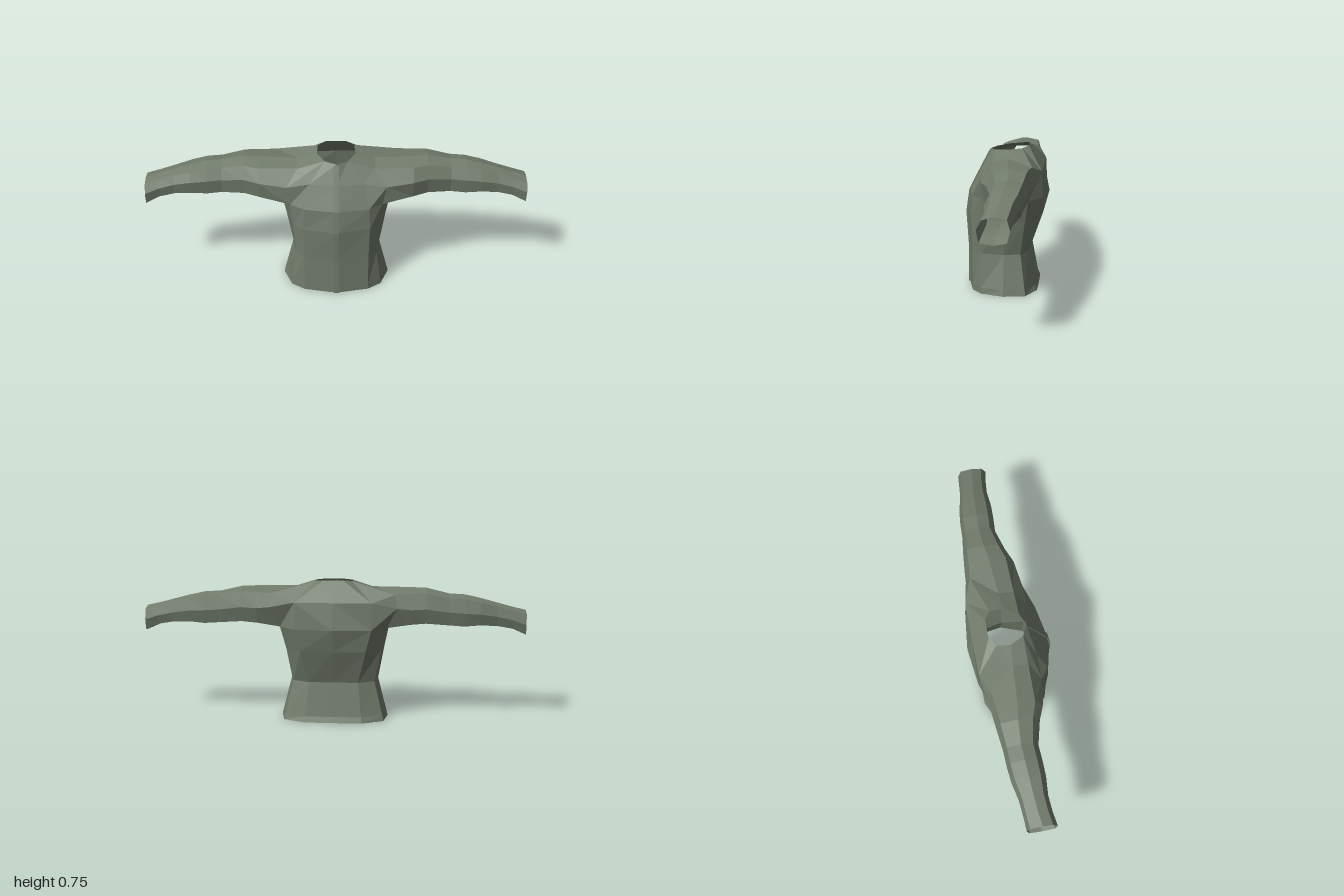
import * as THREE from 'three';

const cloth = new THREE.MeshStandardMaterial({ color: 0x727c6c, flatShading: true, side: THREE.DoubleSide });
cloth.name = 'greyGreenCloth';

// Mesh from a list of polygons (3 or 4 corners, counter-clockwise from outside)
function meshFrom(name, polys) {
  const pos = [];
  for (const p of polys)
    for (let i = 1; i < p.length - 1; i++) pos.push(...p[0], ...p[i], ...p[i + 1]);
  const g = new THREE.BufferGeometry();
  g.setAttribute('position', new THREE.Float32BufferAttribute(pos, 3));
  g.computeVertexNormals();
  const m = new THREE.Mesh(g, cloth);
  m.name = name;
  return m;
}

const mirror = polys => polys.map(p => p.map(([x, y, z]) => [-x, y, z]).reverse());

// Half rings of the body, [x, z] from front centre round to back centre
const bodyRows = [
  [0.0, [[0, .205], [.17, .17], [.24, .12], [.285, 0], [.265, -.115], [.15, -.168], [0, -.17]]],
  [0.03, [[0, .205], [.17, .17], [.237, .12], [.278, 0], [.258, -.11], [.147, -.155], [0, -.157]]],
  [0.21, [[0, .205], [.17, .17], [.215, .12], [.232, 0], [.215, -.085], [.13, -.123], [0, -.125]]],
  [0.39, [[0, .217], [.175, .175], [.228, .12], [.265, 0], [.25, -.11], [.17, -.18], [0, -.19]]],
  [0.51, [[0, .2], [.17, .17], [.24, .12], [.29, 0], [.28, -.13], [.2, -.2], [0, -.223]]],
].map(([y, pts]) => pts.map(([x, z]) => [x, y, z]));

const [F0, F1, S1, S2, S3, B1, B0] = bodyRows[4];

// Armhole loop: top, top back, back, low back, bottom, low front, front, top front
const armhole = [[.2, .71, -.02], [.32, .69, -.15], [.33, .62, -.17], S3, S2, S1, [.26, .61, .118], [.2, .69, .06]];
const [aTop, aTopBack, aBack, , , , aFront, aTopFront] = armhole;

function torso() {
  const polys = [];
  for (let r = 0; r < bodyRows.length - 1; r++)
    for (let i = 0; i < 6; i++)
      polys.push([bodyRows[r][i], bodyRows[r][i + 1], bodyRows[r + 1][i + 1], bodyRows[r + 1][i]]);
  // Chest, shoulder and upper back around the neck opening
  const M0 = [0, .63, .14], M1 = [.14, .63, .118];
  const U0 = [0, .65, -.195], U1 = [.2, .65, -.193];
  const N = [[0, .73, .087], [.06, .733, .06], [.1, .74, -.01], [.095, .748, -.085], [.05, .755, -.115], [0, .755, -.115]];
  polys.push(
    [F0, F1, M1, M0], [F1, S1, aFront, M1],
    [M0, M1, N[1], N[0]], [M1, aFront, aTopFront, N[1]],
    [N[1], aTopFront, aTop, N[2]], [N[2], aTop, aTopBack, N[3]],
    [N[3], aTopBack, U1], [N[3], U1, N[4]], [N[4], U1, U0, N[5]],
    [U1, B1, B0, U0], [S3, B1, U1, aBack], [aBack, U1, aTopBack],
  );
  return meshFrom('torso', [...polys, ...mirror(polys)]);
}

// Sleeve sections: x, top, bottom, front z, back z
const sections = [
  [.4, .71, .515, .098, -.165], [.48, .71, .522, .065, -.157], [.6, .683, .514, .035, -.143],
  [.68, .678, .508, .04, -.14], [.76, .66, .516, .042, -.132], [.85, .635, .512, .035, -.112],
  [.93, .612, .498, .042, -.105], [1, .595, .465, .055, -.1],
];
const outline = [[0, 1], [-.8, .92], [-1, .5], [-.8, .08], [0, 0], [.85, .08], [1, .55], [.68, .89]];

function sleevePolys() {
  const rings = [armhole, ...sections.map(([x, t, b, f, k]) =>
    outline.map(([u, v]) => [x, b + (t - b) * v, (f + k) / 2 + u * (f - k) / 2]))];
  const polys = [];
  for (let r = 0; r < rings.length - 1; r++)
    for (let i = 0; i < 8; i++) {
      const j = (i + 1) % 8;
      polys.push([rings[r + 1][i], rings[r + 1][j], rings[r][j], rings[r][i]]);
    }
  return polys;
}

// Narrow raised strip down the front centre
function placket() {
  const path = [[0, .205], [.21, .205], [.39, .217], [.51, .2], [.63, .14], [.725, .09]];
  const polys = [], w = .014, d = .004;
  for (let i = 0; i < path.length - 1; i++) {
    const [y0, z0] = path[i], [y1, z1] = path[i + 1];
    const half = [
      [[0, y0, z0 + d], [w, y0, z0 + d], [w, y1, z1 + d], [0, y1, z1 + d]],
      [[w, y0, z0 + d], [w, y0, z0 - d], [w, y1, z1 - d], [w, y1, z1 + d]],
    ];
    polys.push(...half, ...mirror(half));
  }
  return meshFrom('placket', polys);
}

export function createModel() {
  const g = new THREE.Group();
  g.name = 'shirt';
  const sleeve = sleevePolys();
  g.add(torso(), meshFrom('leftSleeve', sleeve), meshFrom('rightSleeve', mirror(sleeve)), placket());
  return g;
}
